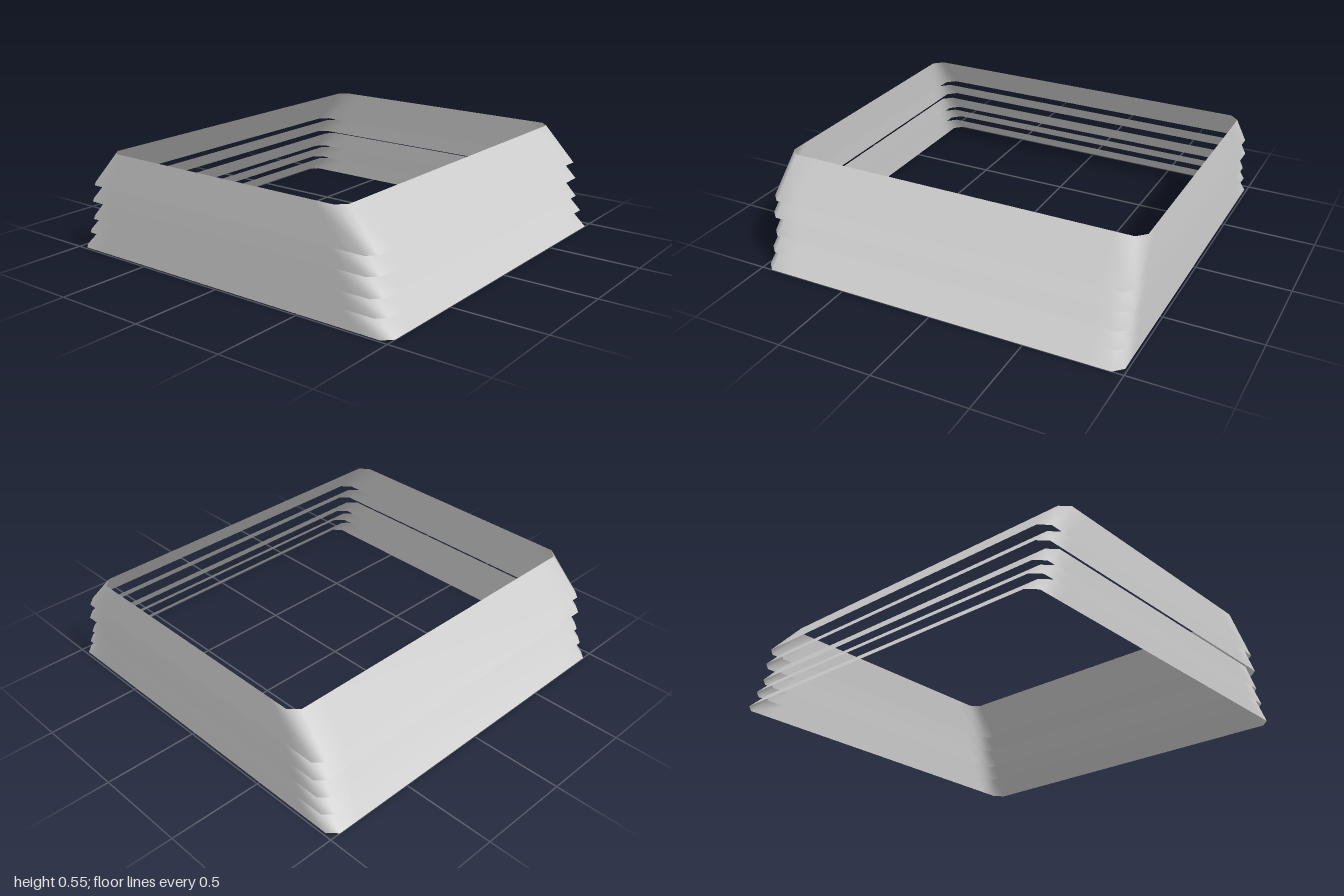
import * as THREE from 'three';

// Chamfered rectangular outline, running from +x towards +z
function outline(x, y, z) {
  const c = 0.046;
  const corner = [
    [x, z - 0.16], [x, z - c],
    [x - c, z], [x - 0.16, z],
  ];
  const signs = [[1, 1], [-1, 1], [-1, -1], [1, -1]];
  return signs.flatMap(([sx, sz], q) => {
    const pts = q % 2 ? [...corner].reverse() : corner;
    return pts.map(([px, pz]) => [px * sx, y, pz * sz]);
  });
}

// Thin open band between two outlines, with smooth corners
function band(lower, upper) {
  const n = lower.length;
  const index = [];
  for (let i = 0; i < n; i++) {
    const j = (i + 1) % n;
    index.push(i, n + i, n + j, i, n + j, j);
  }
  const geo = new THREE.BufferGeometry();
  geo.setAttribute('position', new THREE.Float32BufferAttribute([...lower, ...upper].flat(), 3));
  geo.setIndex(index);
  geo.computeVertexNormals();
  return geo;
}

export function createModel() {
  const group = new THREE.Group();
  group.name = 'louvredFrame';
  const material = new THREE.MeshStandardMaterial({ color: 0xcccccc, side: THREE.DoubleSide });

  // Tiers from the bottom up: heights, half widths and half depths at each rim
  const tiers = [
    { y: [0, 0.09], x: [1, 0.905], z: [0.987, 0.983] },
    { y: [0.09, 0.17], x: [0.967, 0.885], z: [0.983, 0.979] },
    { y: [0.17, 0.27], x: [0.937, 0.845], z: [0.979, 0.975] },
    { y: [0.27, 0.36], x: [0.925, 0.838], z: [0.987, 0.982] },
    { y: [0.36, 0.55], x: [0.908, 0.737], z: [0.982, 0.967] },
  ];
  tiers.forEach(({ y, x, z }, i) => {
    const mesh = new THREE.Mesh(
      band(outline(x[0], y[0], z[0]), outline(x[1], y[1], z[1])),
      material
    );
    mesh.name = i === tiers.length - 1 ? 'topCollar' : `louvreTier${i + 1}`;
    group.add(mesh);
  });
  return group;
}
